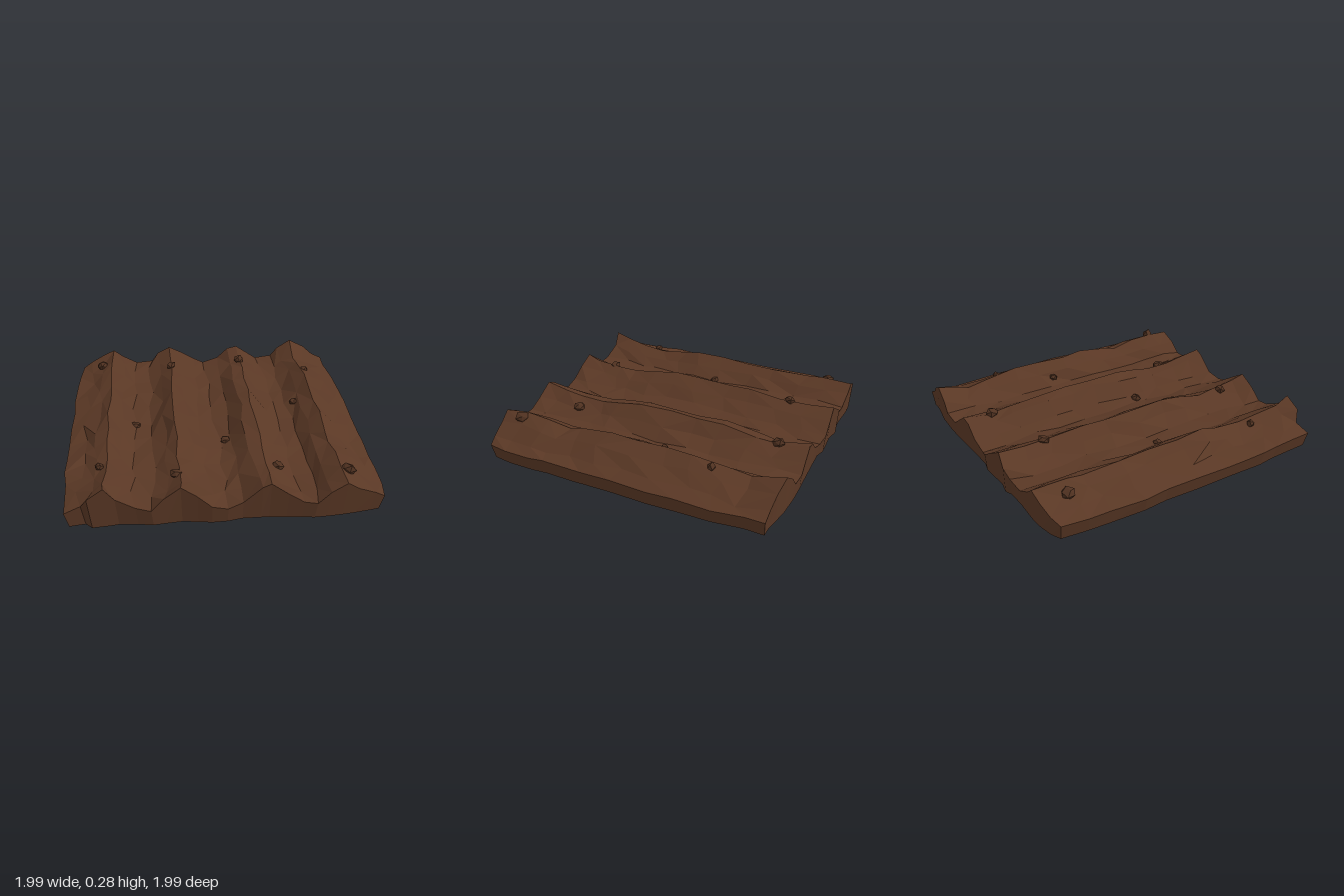
import * as THREE from 'three';

const soil = new THREE.MeshStandardMaterial({ color: 0x5a3825, flatShading: true });
soil.name = 'brown soil';
const clodMat = new THREE.MeshStandardMaterial({ color: 0x4f3120, flatShading: true });
clodMat.name = 'dark clod';

// Furrow cross-section: x, share of the ridge height above the furrow floor
const FLOOR = 0.1;
const PROFILE = [
  [-0.98, 0], [-0.88, 0.27], [-0.8, 0.62], [-0.72, 1], [-0.64, 0.53], [-0.55, 0.13],
  [-0.43, 0.09], [-0.35, 0.53], [-0.27, 1], [-0.18, 0.62], [-0.09, 0.18], [0.01, 0],
  [0.1, 0.2], [0.19, 0.86], [0.27, 1], [0.36, 0.47], [0.45, 0.09], [0.55, 0.11],
  [0.63, 0.6], [0.71, 1], [0.8, 0.64], [0.9, 0.22], [0.98, 0],
];
const ROWS = [-0.98, -0.8, -0.62, -0.42, -0.22, 0, 0.2, 0.36, 0.51, 0.67, 0.83, 0.98];
const RIDGES = [3, 8, 14, 19];

// Crest height of each ridge along z
const CREST_Z = [-0.98, -0.78, -0.4, 0, 0.2, 0.5, 0.75, 0.98];
const CRESTS = [
  [0.225, 0.22, 0.215, 0.235, 0.235, 0.2, 0.215, 0.272],
  [0.24, 0.215, 0.24, 0.245, 0.25, 0.205, 0.205, 0.25],
  [0.215, 0.185, 0.235, 0.24, 0.245, 0.2, 0.21, 0.25],
  [0.26, 0.19, 0.25, 0.25, 0.26, 0.205, 0.265, 0.235],
].map((heights) => heights.map((h, k) => [CREST_Z[k], h]));

// Ragged outline: z, x on the sides and x, z on the ends
const LEFT = [[-0.93, -0.96], [-0.65, -0.99], [-0.52, -0.97], [-0.35, -1], [-0.18, -0.975],
  [0.05, -0.99], [0.28, -0.985], [0.55, -0.99], [0.68, -0.97], [0.95, -0.96]];
const RIGHT = [[-0.96, 0.97], [-0.86, 0.95], [-0.78, 0.99], [-0.5, 0.985], [-0.2, 0.995],
  [0.1, 0.98], [0.35, 0.985], [0.55, 0.975], [0.72, 0.995], [0.94, 0.96]];
const BACK = [[-0.96, -0.93], [-0.84, -0.975], [-0.7, -0.985], [-0.46, -0.97], [-0.36, -1],
  [-0.27, -0.98], [-0.1, -0.995], [0, -0.975], [0.27, -0.985], [0.53, -0.995], [0.7, -0.99],
  [0.87, -0.96], [0.97, -0.96]];
const FRONT = [[-0.96, 0.955], [-0.88, 0.94], [-0.8, 0.98], [-0.63, 0.96], [-0.44, 0.985],
  [-0.27, 0.965], [-0.04, 0.995], [0.1, 0.965], [0.27, 0.965], [0.57, 0.995], [0.8, 0.97],
  [0.96, 0.94]];

// Linear interpolation along a list of [t, value]
function along(list, t) {
  const k = list.findIndex((p) => p[0] > t);
  if (k === 0) return list[0][1];
  if (k < 0) return list[list.length - 1][1];
  const [a, b] = [list[k - 1], list[k]];
  return THREE.MathUtils.mapLinear(t, a[0], b[0], a[1], b[1]);
}

function seeded(seed) {
  return () => {
    seed = (seed * 16807) % 2147483647;
    return seed / 2147483647;
  };
}

// Jittered grid of surface points, [row][column], pinned to the outline
function surfacePoints() {
  const rnd = seeded(4217);
  const jitter = (a) => (rnd() * 2 - 1) * a;
  const lastX = PROFILE.length - 1, lastZ = ROWS.length - 1;
  return ROWS.map((z, j) => PROFILE.map(([x, share], i) => {
    const firm = i === 0 || i === lastX || RIDGES.includes(i);
    const crest = along(CRESTS[Math.floor((x + 1) * 2)], z);
    const p = new THREE.Vector3(
      x + jitter(firm ? 0.012 : 0.022),
      FLOOR + (crest - FLOOR) * share + jitter(firm ? 0.006 : 0.01),
      z + jitter(0.045)
    );
    if (j === 0) p.z = along(BACK, x);
    if (j === lastZ) p.z = along(FRONT, x);
    if (i === 0) p.x = along(LEFT, p.z);
    if (i === lastX) p.x = along(RIGHT, p.z);
    return p;
  }));
}

function buildBed(points) {
  const rnd = seeded(99);
  const pos = [];
  const tri = (...corners) => corners.forEach((p) => pos.push(p.x, p.y, p.z));
  const rows = points.length, cols = points[0].length;

  // Ploughed top, with the facet diagonals varied
  for (let j = 0; j < rows - 1; j++) {
    for (let i = 0; i < cols - 1; i++) {
      const a = points[j][i], b = points[j + 1][i];
      const c = points[j + 1][i + 1], d = points[j][i + 1];
      if (rnd() < 0.5) { tri(a, b, c); tri(a, c, d); } else { tri(a, b, d); tri(b, c, d); }
    }
  }

  // Rim, running front, right, back, left
  const rim = [];
  for (let i = 0; i < cols - 1; i++) rim.push(points[rows - 1][i]);
  for (let j = rows - 1; j > 0; j--) rim.push(points[j][cols - 1]);
  for (let i = cols - 1; i > 0; i--) rim.push(points[0][i]);
  for (let j = 0; j < rows - 1; j++) rim.push(points[j][0]);

  // Sloping sides and flat underside
  const base = rim.map((p) => new THREE.Vector3(p.x * 0.975, 0, p.z * 0.99));
  const centre = new THREE.Vector3();
  rim.forEach((p, k) => {
    const n = (k + 1) % rim.length;
    tri(base[k], base[n], rim[n]);
    tri(base[k], rim[n], p);
    tri(base[n], base[k], centre);
  });

  const geo = new THREE.BufferGeometry();
  geo.setAttribute('position', new THREE.Float32BufferAttribute(pos, 3));
  geo.computeVertexNormals();
  return geo;
}

// Surface height, averaged from nearby points
function heightAt(points, x, z) {
  let sum = 0, weight = 0;
  points.flat().forEach((p) => {
    const w = 1 / (((p.x - x) ** 2 * 4 + (p.z - z) ** 2) ** 2 + 1e-6);
    sum += p.y * w;
    weight += w;
  });
  return sum / weight;
}

// Lumpy little stone of earth
function buildClod(radius, seed) {
  const geo = new THREE.IcosahedronGeometry(radius, 0);
  const pos = geo.attributes.position;
  const v = new THREE.Vector3();
  for (let i = 0; i < pos.count; i++) {
    v.fromBufferAttribute(pos, i);
    const n = v.clone().divideScalar(radius);
    v.multiplyScalar(1 + 0.15 * Math.sin(n.x * 5 + n.y * 7 + n.z * 3 + seed));
    pos.setXYZ(i, v.x, v.y * 0.8, v.z);
  }
  geo.computeVertexNormals();
  return geo;
}

export function createModel() {
  const model = new THREE.Group();
  model.name = 'ploughedSoil';
  const points = surfacePoints();

  const bed = new THREE.Mesh(buildBed(points), soil);
  bed.name = 'furrowedBed';
  model.add(bed);

  // Clods scattered over the furrows: x, z, radius
  const clods = [
    [-0.8, -0.79, 0.046], [-0.27, -0.67, 0.036], [0.27, -0.78, 0.042], [0.74, -0.53, 0.032],
    [0.59, -0.14, 0.029], [-0.54, 0.02, 0.033], [0.06, 0.25, 0.035], [-0.76, 0.61, 0.03],
    [-0.29, 0.74, 0.038], [0.35, 0.65, 0.042], [0.75, 0.83, 0.046],
  ];
  clods.forEach(([x, z, r], k) => {
    const clod = new THREE.Mesh(buildClod(r, k * 1.7), clodMat);
    clod.name = `clod${k + 1}`;
    clod.position.set(x, heightAt(points, x, z) + r * 0.25, z);
    clod.rotation.y = k * 2.1;
    model.add(clod);
  });
  return model;
}
